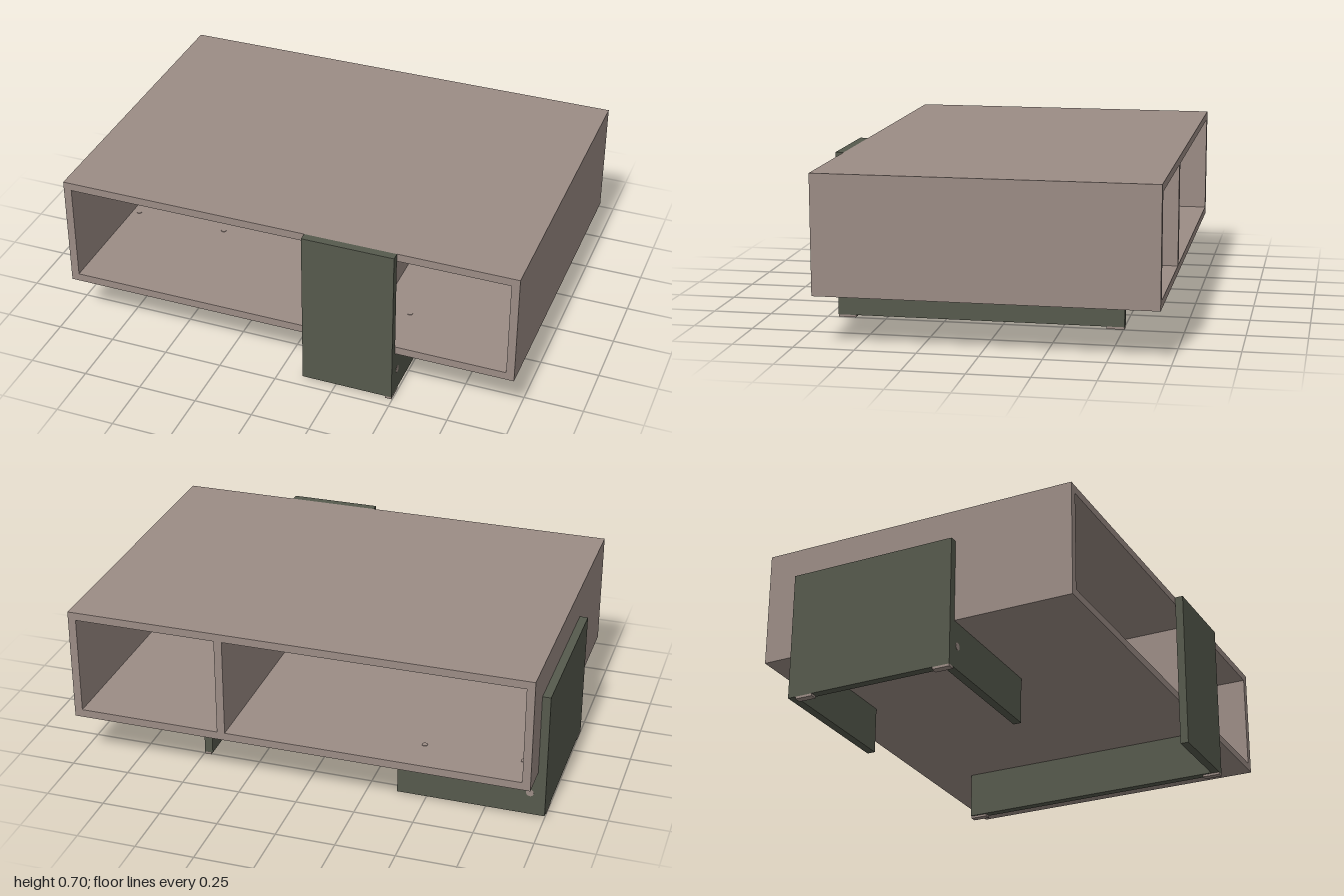
import * as THREE from 'three';

export function createModel() {
  const model = new THREE.Group();
  model.name = 'coffeeTable';
  const taupe = new THREE.MeshStandardMaterial({ color: 0x9b8c85 });
  taupe.name = 'taupe';
  const green = new THREE.MeshStandardMaterial({ color: 0x565a4d });
  green.name = 'darkGreen';

  // Box given by its minimum and maximum corners
  const box = (name, mat, parent, [x0, y0, z0], [x1, y1, z1]) => {
    const mesh = new THREE.Mesh(new THREE.BoxGeometry(x1 - x0, y1 - y0, z1 - z0), mat);
    mesh.position.set((x0 + x1) / 2, (y0 + y1) / 2, (z0 + z1) / 2);
    mesh.name = name;
    parent.add(mesh);
  };
  // Bolt with its axis along x, y or z
  const bolt = (parent, axis, pos, length, radius) => {
    const mesh = new THREE.Mesh(new THREE.CylinderGeometry(radius, radius, length, 20), taupe);
    if (axis === 'x') mesh.rotation.z = Math.PI / 2;
    if (axis === 'z') mesh.rotation.x = Math.PI / 2;
    mesh.position.set(...pos);
    mesh.name = 'bolt';
    parent.add(mesh);
  };
  const group = (name) => {
    const g = new THREE.Group();
    g.name = name;
    model.add(g);
    return g;
  };

  // Open case, seen through from front to back
  const t = 0.034, x0 = -0.965, x1 = 0.996, y0 = 0.21, y1 = 0.7, z0 = -0.705, z1 = 0.67;
  const body = group('case');
  box('top', taupe, body, [x0, y1 - t, z0], [x1, y1, z1]);
  box('floor', taupe, body, [x0, y0, z0], [x1, y0 + t, z1]);
  box('rightWall', taupe, body, [x0, y0 + t, z0], [x0 + t, y1 - t, z1]);
  box('leftWall', taupe, body, [x1 - t, y0 + t, z0], [x1, y1 - t, z1]);
  box('divider', taupe, body, [0.322, y0 + t, z0], [0.356, y1 - t, z1]);

  // Front leg: tall panel with one long rail under the floor
  const front = group('frontLeg');
  box('frontPanel', green, front, [0.106, 0.01, z1], [0.496, y1, 0.705]);
  box('frontRail', green, front, [0.461, 0.01, -0.505], [0.496, y0, z1]);
  for (const z of [0.63, -0.505]) {
    box('foot', taupe, front, [0.468, 0, z], [0.496, 0.01, z + 0.075]);
  }
  bolt(front, 'x', [0.4785, 0.11, 0.638], 0.037, 0.016);
  for (const z of [0.434, -0.27]) bolt(front, 'y', [0.4785, y0 + t, z], 0.006, 0.012);

  // Side leg: panel with a rail at each end
  const side = group('sideLeg');
  box('sidePanel', green, side, [-1, 0.01, -0.56], [x0, 0.56, 0.165]);
  for (const z of [-0.56, 0.13]) {
    box('sideRail', green, side, [x0, 0.01, z], [-0.378, y0, z + 0.035]);
    bolt(side, 'z', [-0.935, 0.11, z + 0.0175], 0.037, 0.016);
    for (const x of [-0.9, -0.488]) bolt(side, 'y', [x, y0 + t, z + 0.0175], 0.006, 0.012);
    bolt(side, 'x', [x0 + t, 0.5, z + 0.0175], 0.004, 0.01);
  }
  for (const z of [0.09, -0.525]) {
    box('foot', taupe, side, [-1, 0, z], [-0.97, 0.01, z + 0.075]);
  }
  return model;
}
